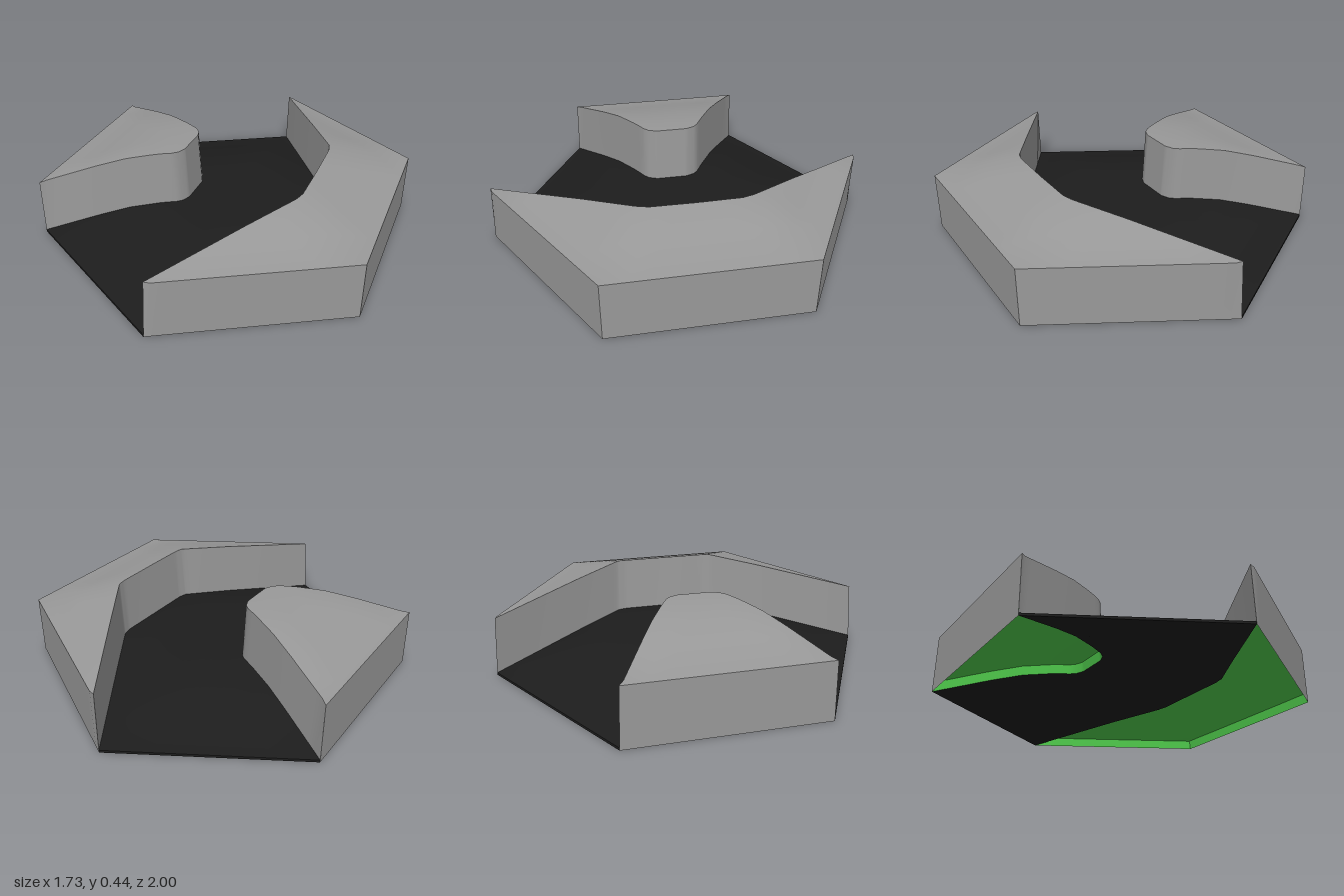
import * as THREE from 'three';
import { toCreasedNormals } from 'three/addons/utils/BufferGeometryUtils.js';

const APOTHEM = Math.sqrt(3) / 2;
const BLOCK = 0.31, FLOOR = 0.013, RECESS = 0.05;

// piecewise-linear lookup in [key, value] pairs
function lookup(table, k) {
  for (let i = 1; i < table.length; i++) {
    const [k0, v0] = table[i - 1], [k1, v1] = table[i];
    if (k <= k1) return v0 + (v1 - v0) * (k - k0) / (k1 - k0);
  }
  return table[table.length - 1][1];
}

// hexagonal dome: zero at the rim, level in the middle
const DOME = [[0, 0.13], [0.32, 0.13], [0.47, 0.113], [0.61, 0.077], [APOTHEM, 0]];
const dome = (x, z) =>
  lookup(DOME, Math.max(Math.abs(x), Math.abs(x) / 2 + Math.abs(z) * APOTHEM));

// softened dome normal, taken over a wide step so the sectors blend
function domeNormal(x, z, sign) {
  const e = 0.2;
  return V(dome(x - e, z) - dome(x + e, z), 2 * e, dome(x, z - e) - dome(x, z + e))
    .normalize().multiplyScalar(sign);
}

// plan outlines, x for a given |z|
const BIG = [[0, 0.46], [0.23, 0.46], [0.28, 0.45], [0.31, 0.432], [1, 0]];
const SMALL = [[0, -0.2], [0.085, -0.2], [0.13, -0.218], [0.155, -0.245], [0.5, -APOTHEM]];
const bigX = z => lookup(BIG, Math.abs(z));
const smallX = z => lookup(SMALL, Math.abs(z));
const hexX = z => Math.min(APOTHEM, (1 - Math.abs(z)) * Math.sqrt(3));

// all rows along z, including every corner of the outlines
function makeRows() {
  const set = new Set();
  for (let i = 0; i <= 40; i++) set.add(i / 40);
  for (const [z] of [...BIG, ...SMALL]) set.add(z);
  const half = [...set].sort((a, b) => a - b);
  return [...half.slice(1).reverse().map(z => -z), ...half];
}
const ROWS = makeRows();
const INNER_ROWS = ROWS.filter(z => Math.abs(z) <= 0.5);

const V = (x, y, z) => new THREE.Vector3(x, y, z);
const onDome = (x, z, lift) => V(x, dome(x, z) + lift, z);

// ruled sheet between two edges; with a lift it follows the dome
function sheet(A, B, cols = 1, lift = null) {
  const pos = [], nor = [], idx = [], w = cols + 1;
  const mid = A.length >> 1, sign = Math.sign(B[mid].x - A[mid].x);
  A.forEach((a, i) => {
    for (let j = 0; j <= cols; j++) {
      const p = a.clone().lerp(B[i], j / cols);
      if (lift !== null) {
        p.y = dome(p.x, p.z) + lift;
        nor.push(...domeNormal(p.x, p.z, sign));
      }
      pos.push(p.x, p.y, p.z);
      if (i < A.length - 1 && j < cols) {
        const q = i * w + j;
        idx.push(q, q + w, q + w + 1, q, q + w + 1, q + 1);
      }
    }
  });
  const g = new THREE.BufferGeometry();
  g.setAttribute('position', new THREE.Float32BufferAttribute(pos, 3));
  g.setIndex(idx);
  if (lift === null) return toCreasedNormals(g, 0.6);
  g.setAttribute('normal', new THREE.Float32BufferAttribute(nor, 3));
  return g;
}

export function createModel() {
  const model = new THREE.Group();
  const grey = new THREE.MeshStandardMaterial({ color: 0x999999 });
  const black = new THREE.MeshStandardMaterial({ color: 0x1d1d1d });
  const green = new THREE.MeshStandardMaterial({ color: 0x50cc4c });
  const add = (parent, name, geo, mat) => {
    const m = new THREE.Mesh(geo, mat);
    m.name = name;
    parent.add(m);
  };

  // raised blocks: side +1 is the large one, -1 the small one
  function block(name, side, rows, inner, outer, topX, topScale) {
    const g = new THREE.Group();
    g.name = name;
    const last = rows.length - 1;
    const foot = lift => rows.map(z => onDome(inner(z), z, lift));
    const rim = rows.map(z => V(outer(z), 0, z));
    const topInner = rows.map(z => onDome(topX(z), z * topScale, BLOCK));
    // the top narrows to a point at both ends
    const topOuter = rows.map((z, i) =>
      i === 0 || i === last ? topInner[i].clone() : V(outer(z), BLOCK, z));

    // edges of the recessed underside, just inside the walls
    const inset = (from, top, toward) => from.map((p, i) => {
      const q = p.clone().lerp(top[i], RECESS / BLOCK).lerp(toward[i], 0.01);
      return onDome(q.x, q.z, RECESS);
    });
    const underFoot = inset(foot(0), topInner, rim);
    const underRim = inset(rim, topOuter, foot(0));

    // faces made for the +x side are turned round for the -x side
    const face = (part, A, B, mat, cols, lift) =>
      add(g, part, side > 0 ? sheet(A, B, cols, lift) : sheet(B, A, cols, lift), mat);
    face('blockTop', topInner, topOuter, grey, 24, BLOCK);
    face('outerWall', topOuter, rim, grey);
    face('roadWall', foot(FLOOR), topInner, grey);
    face('underside', underRim, underFoot, green, 24, RECESS);
    face('undersideRim', rim, underRim, green);
    face('undersideRoadEdge', underFoot, foot(0), green);
    model.add(g);
  }
  block('largeBlock', 1, ROWS, bigX, hexX,
    z => bigX(z) + 0.022 - 0.0105 * Math.abs(z), 0.984);
  block('smallBlock', -1, INNER_ROWS, smallX, () => -APOTHEM,
    z => Math.max(-APOTHEM, smallX(z) - 0.017), 0.985);

  // sunken road bending between the blocks
  const road = new THREE.Group();
  road.name = 'road';
  const left = ROWS.map(z => V(Math.abs(z) >= 0.5 ? -hexX(z) : smallX(z), 0, z));
  const right = ROWS.map(z => V(bigX(z), 0, z));
  add(road, 'roadSurface', sheet(left, right, 32, FLOOR), black);
  add(road, 'roadUnderside', sheet(right, left, 32, 0), black);
  for (const s of [-1, 1]) {
    const rows = ROWS.filter(z => z * s >= 0.5);
    const edge = y => rows.map(z => V(-hexX(z), y, z));
    add(road, 'roadEndEdge', sheet(edge(0), edge(FLOOR)), black);
  }
  model.add(road);
  return model;
}
